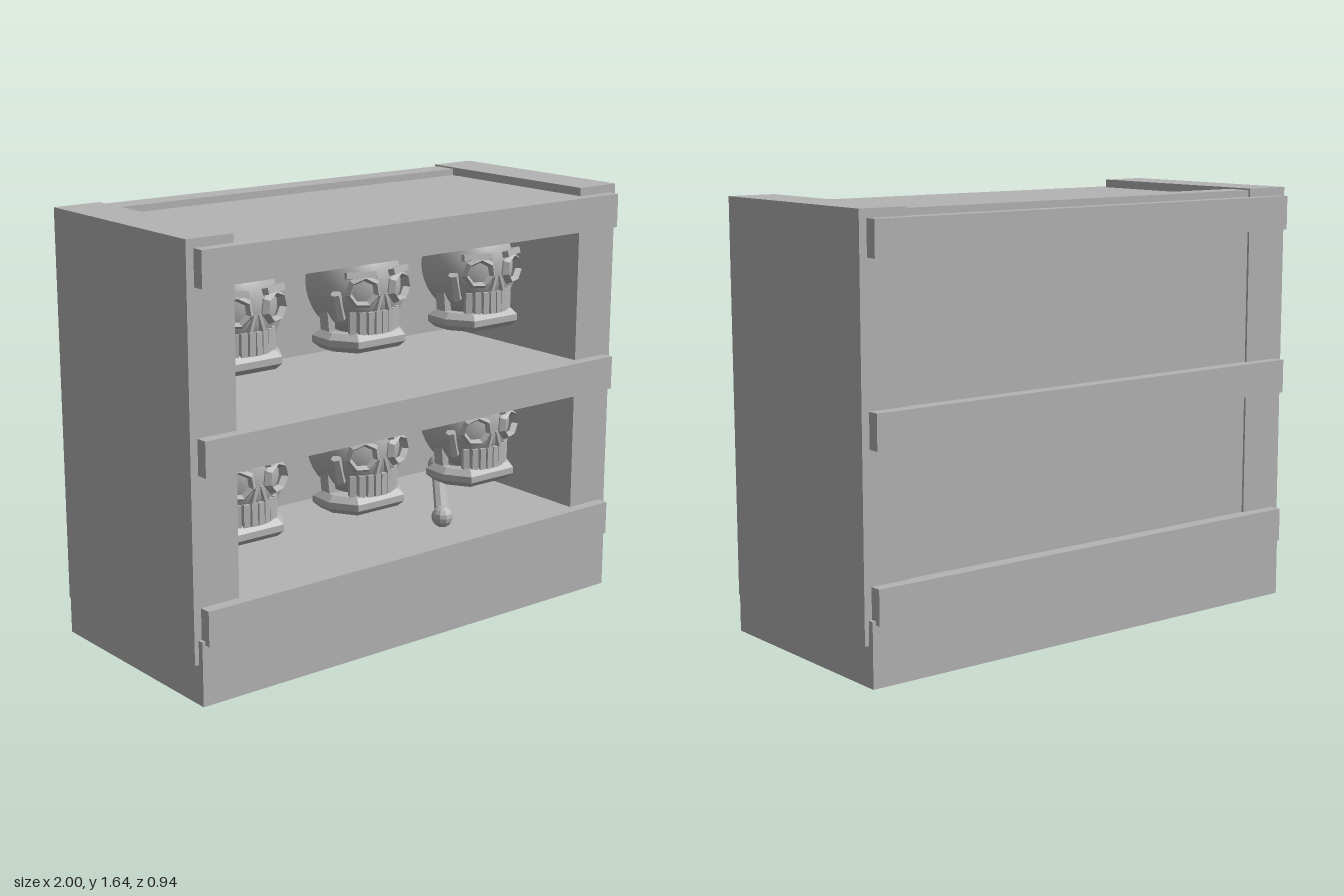
import * as THREE from 'three';

const grey = new THREE.MeshStandardMaterial({ color: 0xb4b4b4 });

function add(parent, name, geometry, x = 0, y = 0, z = 0) {
  const mesh = new THREE.Mesh(geometry, grey);
  mesh.name = name;
  mesh.position.set(x, y, z);
  parent.add(mesh);
  return mesh;
}

// Faceted copy of an indexed geometry
function facet(geometry) {
  const g = geometry.toNonIndexed();
  g.computeVertexNormals();
  return g;
}

// Box given by its lower and upper limits
function boxBetween(parent, name, [x0, y0, z0], [x1, y1, z1]) {
  return add(parent, name, new THREE.BoxGeometry(x1 - x0, y1 - y0, z1 - z0),
    (x0 + x1) / 2, (y0 + y1) / 2, (z0 + z1) / 2);
}

// U-shaped jaw, bevelled into two faceted bands
function jawGeometry() {
  const half = [[0.148, 0.03], [0.152, 0.11], [0.1, 0.195]];
  const inner = [[0.07, 0.155], [0.115, 0.1], [0.115, 0.03]];
  const flip = (pts) => pts.map(([x, z]) => [-x, z]).reverse();
  const outline = [...half, ...flip(half), ...flip(inner), ...inner];
  const shape = new THREE.Shape(outline.map(([x, z]) => new THREE.Vector2(x, z)));
  const g = new THREE.ExtrudeGeometry(shape, {
    depth: 0.025, bevelThickness: 0.022, bevelSize: 0.022, bevelSegments: 1,
  });
  g.rotateX(Math.PI / 2);
  return g;
}

function createSkull() {
  const skull = new THREE.Group();
  skull.name = 'skull';

  const cranium = new THREE.SphereGeometry(1, 28, 18);
  cranium.scale(0.182, 0.198, 0.178);
  add(skull, 'cranium', cranium, 0, 0.24, 0.045);

  // Tapered upper jaw below the eyes
  const face = new THREE.CylinderGeometry(0.165, 0.115, 0.12, 12);
  face.scale(1, 1, 0.85);
  add(skull, 'upperJaw', facet(face), 0, 0.155, 0.07);

  add(skull, 'lowerJaw', jawGeometry(), 0, 0.047, 0);

  for (const side of [-1, 1]) {
    // Angular eye rim, brow and cheekbone
    const rim = new THREE.TorusGeometry(0.058, 0.014, 4, 7);
    rim.rotateZ(side > 0 ? 0 : Math.PI);
    rim.scale(1, 0.9, 1.5);
    const eye = add(skull, 'eyeRim', facet(rim), side * 0.083, 0.232, 0.205);
    eye.rotation.set(0, side * 0.35, side * -0.15);

    const brow = add(skull, 'brow', new THREE.BoxGeometry(0.115, 0.024, 0.04),
      side * 0.086, 0.292, 0.195);
    brow.rotation.set(-0.25, side * 0.4, side * 0.1);

    const cheek = add(skull, 'cheekbone', facet(new THREE.CylinderGeometry(0.02, 0.024, 0.11, 6)),
      side * 0.145, 0.175, 0.135);
    cheek.rotation.set(0.2, 0, side * -0.35);

    const branch = add(skull, 'jawBranch', new THREE.BoxGeometry(0.03, 0.15, 0.05),
      side * 0.138, 0.125, 0.06);
    branch.rotation.z = side * -0.1;

    const nose = add(skull, 'noseSide', new THREE.BoxGeometry(0.012, 0.065, 0.03),
      side * 0.02, 0.185, 0.213);
    nose.rotation.z = side * 0.3;
  }

  // Row of teeth on a shallow arc
  for (let i = 0; i < 8; i++) {
    const t = i - 3.5;
    const tooth = add(skull, 'tooth', new THREE.BoxGeometry(0.025, 0.085, 0.03),
      t * 0.0285, 0.108, 0.203 - t * t * 0.0032);
    tooth.rotation.y = t * 0.12;
  }
  return skull;
}

// Shaft with a knob at each end
function createBone(from, to) {
  const bone = new THREE.Group();
  bone.name = 'bone';
  const a = new THREE.Vector3(...from);
  const b = new THREE.Vector3(...to);
  const along = b.clone().sub(a);
  const shaft = add(bone, 'boneShaft',
    facet(new THREE.CylinderGeometry(0.028, 0.028, along.length(), 8)));
  shaft.position.copy(a).add(b).multiplyScalar(0.5);
  shaft.quaternion.setFromUnitVectors(new THREE.Vector3(0, 1, 0), along.normalize());
  for (const end of [a, b]) {
    add(bone, 'boneKnob', facet(new THREE.SphereGeometry(0.042, 10, 8)), end.x, end.y, end.z);
  }
  return bone;
}

export function createModel() {
  const model = new THREE.Group();
  model.name = 'skullShelf';

  // Cabinet
  boxBetween(model, 'base', [-0.983, 0, -0.445], [0.983, 0.24, 0.445]);
  boxBetween(model, 'leftSide', [0.81, 0.15, -0.422], [1, 1.637, 0.422]);
  boxBetween(model, 'rightSide', [-1, 0.15, -0.422], [-0.81, 1.637, 0.422]);
  boxBetween(model, 'backPanel', [-0.81, 0.2, -0.413], [0.81, 1.631, -0.31]);
  for (const y of [0.226, 0.83, 1.475]) {
    boxBetween(model, 'shelf', [-0.97, y, -0.468], [0.97, y + 0.13, 0.468]);
  }

  // Two rows of three skulls
  for (const y of [0.45, 1.08]) {
    for (const x of [-0.575, 0, 0.575]) {
      const skull = createSkull();
      skull.position.set(x, y, 0);
      model.add(skull);
    }
  }

  // Bones lying on the lowest shelf
  model.add(createBone([-0.82, 0.42, 0.33], [-0.335, 0.398, -0.25]));
  model.add(createBone([0.205, 0.42, 0.335], [0.695, 0.398, -0.25]));
  return model;
}
